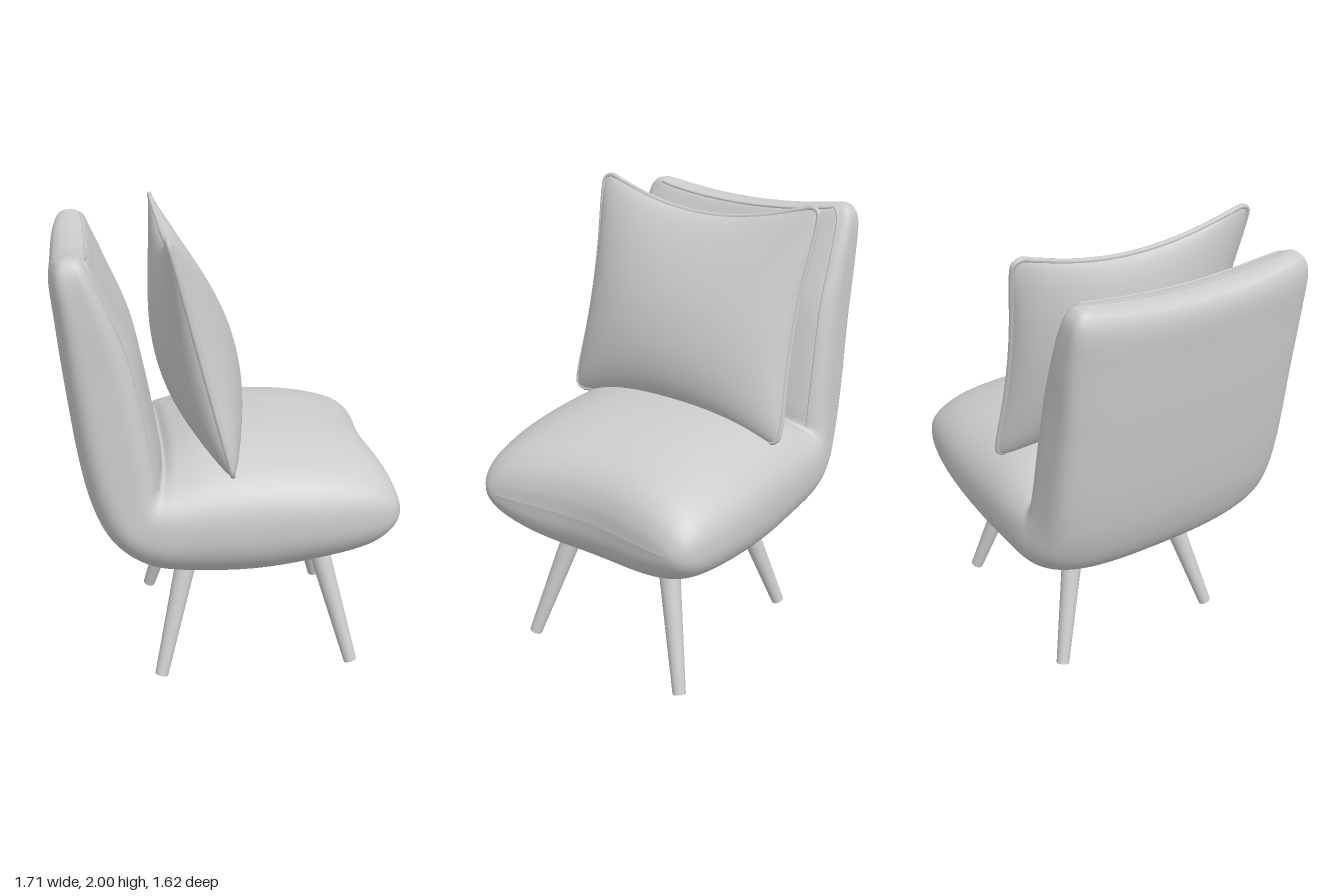
import * as THREE from 'three';
import { mergeGeometries } from 'three/addons/utils/BufferGeometryUtils.js';

const V = (x, y, z) => new THREE.Vector3(x, y, z);
const spow = (v, e) => Math.sign(v) * Math.abs(v) ** e;

// Body sections from the seat nose back and up to the top of the backrest:
// inner z, inner y, outer z, outer y, half width, squareness
const SECTIONS = [
  [0.68, 0.80, 0.68, 0.80, 0.42, 2.5],
  [0.67, 0.89, 0.67, 0.71, 0.485, 2.5],
  [0.63, 0.975, 0.63, 0.63, 0.535, 2.5],
  [0.54, 1.045, 0.54, 0.56, 0.57, 2.5],
  [0.35, 1.10, 0.35, 0.505, 0.60, 2.4],
  [0.10, 1.12, 0.10, 0.47, 0.605, 2.4],
  [-0.10, 1.11, -0.15, 0.48, 0.605, 2.4],
  [-0.23, 1.06, -0.36, 0.535, 0.60, 2.6],
  [-0.28, 1.02, -0.51, 0.66, 0.585, 3],
  [-0.295, 1.09, -0.59, 0.82, 0.57, 3.6],
  [-0.325, 1.25, -0.64, 1.05, 0.56, 4],
  [-0.38, 1.50, -0.682, 1.40, 0.548, 4.2],
  [-0.46, 1.69, -0.705, 1.65, 0.545, 4.2],
  [-0.53, 1.835, -0.717, 1.80, 0.535, 4.2],
  [-0.56, 1.89, -0.705, 1.87, 0.51, 4],
  [-0.59, 1.905, -0.675, 1.90, 0.475, 4],
  [-0.635, 1.91, -0.635, 1.91, 0.43, 4],
];
const LAST = SECTIONS.length - 1;
const innerCurve = new THREE.CatmullRomCurve3(SECTIONS.map(s => V(s[4], s[1], s[0])), false, 'catmullrom');
const outerCurve = new THREE.CatmullRomCurve3(SECTIONS.map(s => V(s[5], s[3], s[2])), false, 'catmullrom');

// Point on the body: section position (0..LAST) and angle round the section
function bodyPoint(row, a) {
  const inner = innerCurve.getPoint(row / LAST), outer = outerCurve.getPoint(row / LAST);
  const n = outer.x;
  const x = inner.x * spow(Math.cos(a), 2 / n);
  const k = (1 + spow(Math.sin(a), 2 / n)) / 2;
  let y = THREE.MathUtils.lerp(outer.y, inner.y, k);
  let z = THREE.MathUtils.lerp(outer.z, inner.z, k);
  // the top edge dips between raised corners, the front edge is slightly hollow
  y += THREE.MathUtils.smoothstep(y, 1.4, 1.9) * (0.025 - 0.05 * (1 - (x / 0.5) ** 2));
  z += THREE.MathUtils.smoothstep(z, 0.3, 0.7) * (0.04 * Math.sin(Math.min(1, Math.abs(x) / 0.48) * Math.PI / 2) ** 2 - 0.01);
  return V(x, y, z);
}

function bodyGeometry(rows = 128, cols = 96) {
  const pos = [], idx = [];
  for (let i = 0; i <= rows; i++)
    for (let j = 0; j < cols; j++)
      pos.push(...bodyPoint(i / rows * LAST, j / cols * Math.PI * 2).toArray());
  for (let i = 0; i < rows; i++)
    for (let j = 0; j < cols; j++) {
      const a = i * cols + j, b = i * cols + (j + 1) % cols;
      idx.push(a, a + cols, b, b, a + cols, b + cols);
    }
  const g = new THREE.BufferGeometry();
  g.setAttribute('position', new THREE.Float32BufferAttribute(pos, 3));
  g.setIndex(idx);
  g.computeVertexNormals();
  return g;
}

// Pillow outline: a square with rounded corners, drawn in along the edges
function pillowOutline(p, q) {
  const r = 1 - 0.06 * Math.abs(p * q) ** 8;
  return [
    0.568 * r * p * (1 - 0.08 * (1 - q * q)),
    0.528 * r * q * (1 - (q > 0 ? 0.25 : 0.15) * (1 - p * p)),
  ];
}

function pillowHalf(depth, side) {
  const g = new THREE.PlaneGeometry(2, 2, 48, 48);
  const P = g.attributes.position;
  for (let i = 0; i < P.count; i++) {
    const p = Math.sin(P.getX(i) * Math.PI / 2), q = Math.sin(P.getY(i) * Math.PI / 2);
    const swell = (Math.max(0, 1 - p * p) * Math.max(0, 1 - q * q)) ** 0.55;
    P.setXYZ(i, ...pillowOutline(p, q), depth * swell * (1 - 0.3 * q));
  }
  if (side < 0) g.rotateY(Math.PI);
  g.computeVertexNormals();
  return g;
}

export function createModel() {
  const model = new THREE.Group();
  model.name = 'chairWithPillow';
  const chair = new THREE.Group();
  chair.name = 'chair';
  chair.rotation.y = 0.977;
  model.add(chair);

  const grey = new THREE.MeshStandardMaterial({ color: 0xcccccc });
  const add = (name, geometry, parent = chair) => {
    const m = new THREE.Mesh(geometry, grey);
    m.name = name;
    parent.add(m);
    return m;
  };

  // Upholstered seat and backrest in one shell
  add('seatAndBackrest', bodyGeometry());

  // Piping round the inner face of the backrest
  const seam = [], A = 0.62;
  for (let r = 8.2; r < 14; r += 0.4) seam.push(bodyPoint(r, A));
  for (let k = 0; k <= 10; k++) seam.push(bodyPoint(14.2, A + k / 10 * (Math.PI - 2 * A)));
  for (let r = 13.8; r > 8.1; r -= 0.4) seam.push(bodyPoint(r, Math.PI - A));
  add('backrestPiping', new THREE.TubeGeometry(new THREE.CatmullRomCurve3(seam), 160, 0.007, 8));

  // Leaning pillow with piped edge
  const pillow = new THREE.Group();
  pillow.name = 'pillow';
  pillow.position.set(-0.01, 1.505, -0.143);
  pillow.rotation.set(-0.25, 0, -0.012);
  chair.add(pillow);
  add('pillowCover', mergeGeometries([pillowHalf(0.165, 1), pillowHalf(0.165, -1)]), pillow);
  const edge = [];
  for (let k = 0; k < 96; k++) {
    const a = (k + 0.5) / 96 * Math.PI * 2;
    const c = Math.cos(a), s = Math.sin(a), m = Math.max(Math.abs(c), Math.abs(s));
    edge.push(V(...pillowOutline(c / m, s / m), 0));
  }
  add('pillowPiping', new THREE.TubeGeometry(new THREE.CatmullRomCurve3(edge, true), 240, 0.011, 8, true), pillow);

  // Four splayed tapered legs
  for (const sx of [1, -1])
    for (const sz of [1, -1]) {
      const foot = V(0.405 * sx, 0.012, 0.11 + 0.43 * sz);
      const top = V(0.235 * sx, 0.62, 0.11 + 0.27 * sz);
      const dir = top.clone().sub(foot);
      const leg = add(sz > 0 ? 'frontLeg' : 'backLeg', new THREE.CylinderGeometry(0.05, 0.029, dir.length(), 32));
      leg.position.copy(foot).add(top).multiplyScalar(0.5);
      leg.quaternion.setFromUnitVectors(V(0, 1, 0), dir.normalize());
    }
  return model;
}
